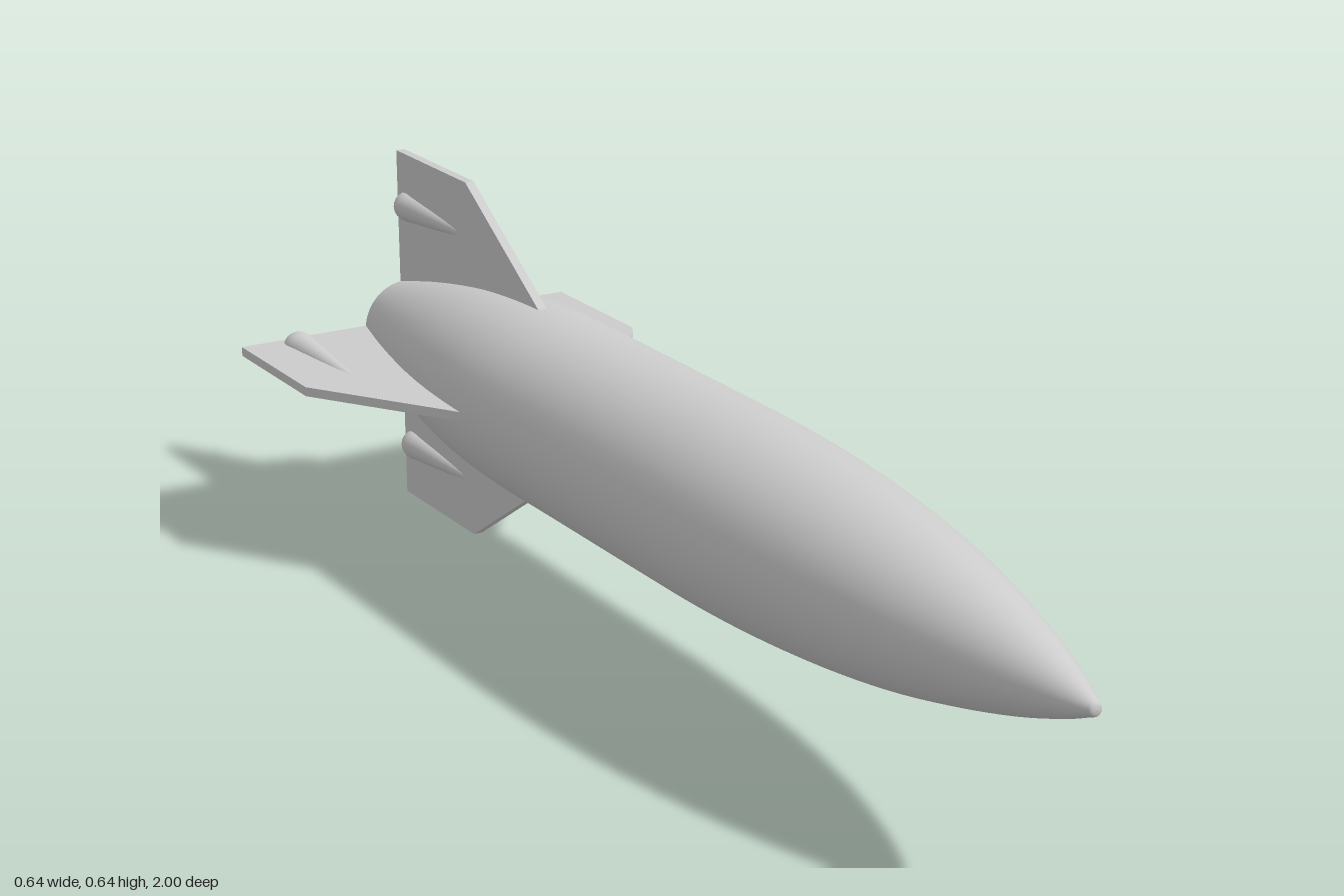
import * as THREE from 'three';

const material = new THREE.MeshStandardMaterial({ color: 0xcccccc });
const AXIS_Y = 0.32;

function part(name, geometry) {
  const mesh = new THREE.Mesh(geometry, material);
  mesh.name = name;
  return mesh;
}

// Turned shape along z from [radius, z] pairs, listed from back to front
function turned(pairs, samples, sides) {
  const curve = new THREE.SplineCurve(pairs.map(([r, z]) => new THREE.Vector2(r, z)));
  const points = curve.getPoints(samples).map((p) => new THREE.Vector2(Math.max(p.x, 0), p.y));
  return new THREE.LatheGeometry(points, sides).rotateX(Math.PI / 2);
}

// Swept fin in the x-z plane, root inside the hull
function finGeometry() {
  const outline = [[0.15, -0.475], [0.32, -0.74], [0.32, -1], [0.078, -1], [0.1, -0.88], [0.13, -0.7]];
  const shape = new THREE.Shape(outline.map(([r, z]) => new THREE.Vector2(r, z)));
  const thickness = 0.016;
  return new THREE.ExtrudeGeometry(shape, { depth: thickness, bevelEnabled: false })
    .translate(0, 0, -thickness / 2)
    .rotateX(Math.PI / 2);
}

export function createModel() {
  const rocket = new THREE.Group();
  rocket.name = 'rocket';
  rocket.position.y = AXIS_Y;

  // Streamlined hull, straight in the middle and tapering to both ends
  rocket.add(part('hull', turned([
    [0.08, -1], [0.105, -0.9], [0.126, -0.8], [0.143, -0.7], [0.154, -0.6], [0.16, -0.48],
    [0.16, -0.3], [0.16, 0], [0.159, 0.15], [0.153, 0.3], [0.141, 0.45], [0.121, 0.6],
    [0.095, 0.73], [0.064, 0.85], [0.034, 0.94], [0.012, 0.992],
  ], 60, 40)));

  // Rounded nose tip
  rocket.add(part('noseTip', turned([[0.012, 0.992], [0.009, 0.998], [0, 1]], 6, 40)));

  // Hollow exhaust bowl at the tail
  rocket.add(part('exhaust', turned([[0, -0.93], [0.03, -0.937], [0.058, -0.96], [0.08, -1]], 16, 40)));

  // Four fins, each carrying a slim pod that thickens toward the rear
  for (let i = 0; i < 4; i++) {
    const finGroup = new THREE.Group();
    finGroup.name = 'finAssembly' + (i + 1);
    finGroup.rotation.z = (i * Math.PI) / 2;
    finGroup.add(part('fin', finGeometry()));

    const pod = part('finPod', turned([
      [0, -1], [0.014, -0.997], [0.024, -0.985], [0.027, -0.968], [0.024, -0.94], [0.017, -0.86], [0.006, -0.75], [0, -0.72],
    ], 28, 20));
    pod.position.x = 0.223;
    finGroup.add(pod);
    rocket.add(finGroup);
  }

  const model = new THREE.Group();
  model.name = 'model';
  model.add(rocket);
  return model;
}
